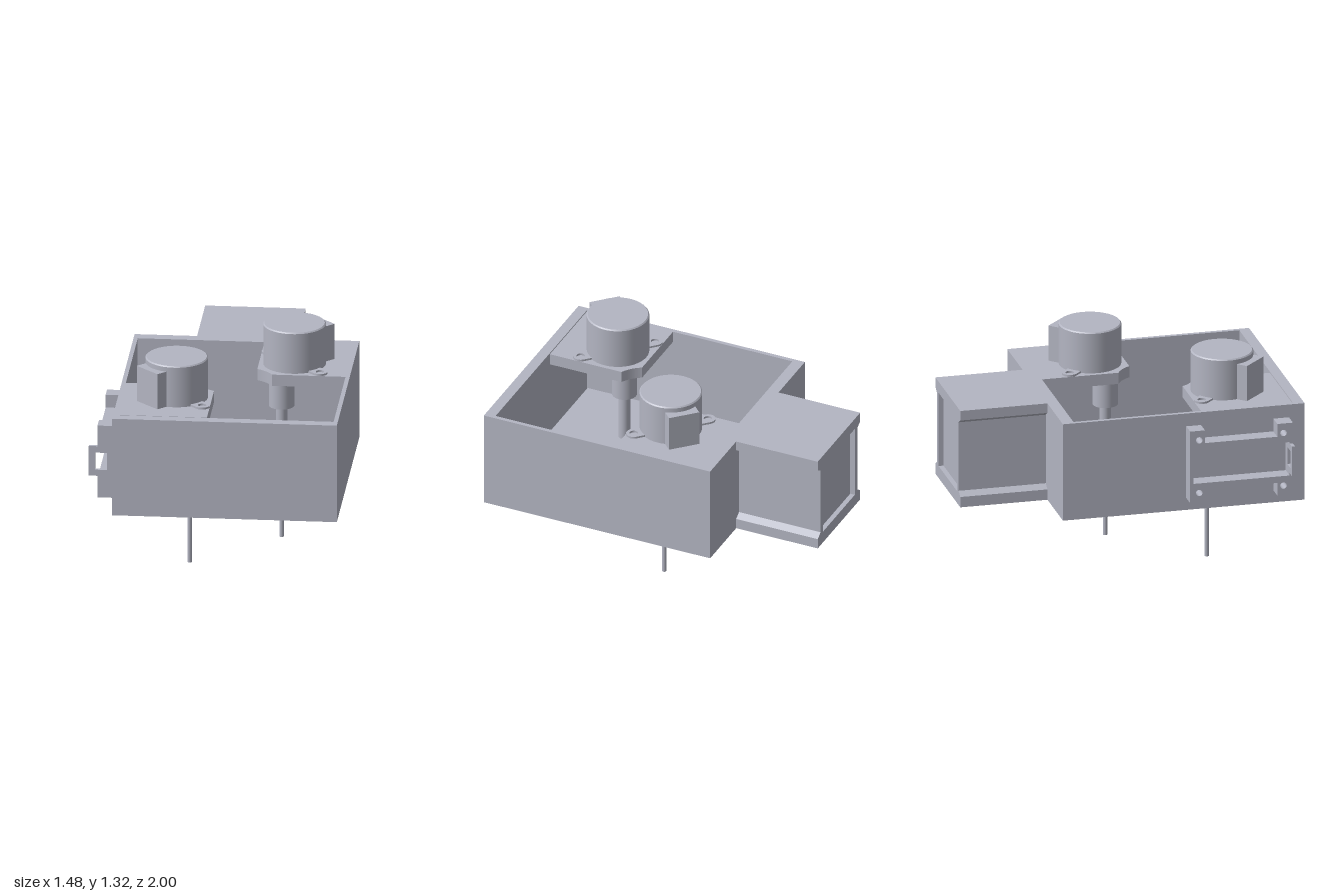
import * as THREE from 'three';

const BOTTOM = 0.455, TOP = 1.06;

export function createModel() {
  const model = new THREE.Group();
  const grey = new THREE.MeshStandardMaterial({ color: 0xb3b5c2 });
  grey.name = 'matte grey';

  const add = (parent, name, geometry) => {
    const mesh = new THREE.Mesh(geometry, grey);
    mesh.name = name;
    parent.add(mesh);
    return mesh;
  };
  const box = (parent, name, x0, x1, y0, y1, z0, z1) => {
    const mesh = add(parent, name, new THREE.BoxGeometry(x1 - x0, y1 - y0, z1 - z0));
    mesh.position.set((x0 + x1) / 2, (y0 + y1) / 2, (z0 + z1) / 2);
    return mesh;
  };
  const tube = (parent, name, rTop, rBottom, y0, y1, x, z, sides = 48) => {
    const mesh = add(parent, name, new THREE.CylinderGeometry(rTop, rBottom, y1 - y0, sides));
    mesh.position.set(x, (y0 + y1) / 2, z);
    return mesh;
  };
  const poly = (pts) => new THREE.Shape(pts.map(([x, y]) => new THREE.Vector2(x, y)));
  const rect = (x0, x1, y0, y1) => poly([[x0, y0], [x1, y0], [x1, y1], [x0, y1]]);
  const circle = (x, y, r) => new THREE.Path().absarc(x, y, r, 0, Math.PI * 2, true);
  const extrude = (shape, depth) =>
    new THREE.ExtrudeGeometry(shape, { depth, bevelEnabled: false, curveSegments: 16 });
  // Plan outlines are drawn with y = -z and raised from y0 to y1
  const raise = (parent, name, shape, y0, y1) => {
    const geometry = extrude(shape, y1 - y0);
    geometry.rotateX(-Math.PI / 2).translate(0, y0, 0);
    return add(parent, name, geometry);
  };

  // Open rectangular housing
  const walls = rect(-0.595, 0.735, -1, 0.47);
  walls.holes.push(rect(-0.57, 0.71, -0.935, 0.4));
  raise(model, 'housingWalls', walls, BOTTOM, TOP);

  // Rear block with flanged sides and a shallow pocket in its end
  const rear = new THREE.Group();
  rear.name = 'rearBlock';
  model.add(rear);
  const rearSection = () => {
    const L = -0.225, R = 0.37, inset = 0.04;
    return poly([
      [L, BOTTOM], [R, BOTTOM], [R, 0.52], [R - inset, 0.545], [R - inset, 0.975], [R, 1.0],
      [R, TOP], [L, TOP], [L, 1.0], [L + inset, 0.975], [L + inset, 0.545], [L, 0.52],
    ]);
  };
  const core = add(rear, 'rearBlockCore', extrude(rearSection(), 0.5));
  core.position.z = -0.97;
  const rim = rearSection();
  rim.holes.push(rect(-0.15, 0.295, 0.53, 0.99));
  const rimMesh = add(rear, 'rearBlockRim', extrude(rim, 0.03));
  rimMesh.position.z = -1;

  // One motor station in its corner; the second is the same turned half round
  const station = () => {
    const g = new THREE.Group();
    const cx = 0.39, cz = -0.055;

    // Upper and lower corner plates
    for (const [name, y0, y1] of [['lowerPlate', BOTTOM, 0.52], ['upperPlate', 0.99, TOP]]) {
      const plate = new THREE.Shape();
      plate.moveTo(0.18, 0.4);
      plate.lineTo(0.18, -0.065);
      plate.quadraticCurveTo(0.243, -0.097, 0.275, -0.155);
      plate.lineTo(0.71, -0.155);
      plate.lineTo(0.71, 0.4);
      raise(g, name, plate, y0, y1);
    }

    // Motor can with a slightly eased top edge
    tube(g, 'motorCan', 0.185, 0.185, TOP, 1.308, cx, cz, 64);
    tube(g, 'motorCanEdge', 0.178, 0.185, 1.308, 1.315, cx, cz, 64);

    // Terminal box on the side of the can
    const terminal = add(g, 'terminalBox', new THREE.BoxGeometry(0.19, 0.22, 0.13));
    terminal.position.set(cx + 0.115, 1.17, cz - 0.115);
    terminal.rotation.y = Math.PI * 0.75;

    // Mounting ears with screw holes
    for (const s of [-1, 1]) {
      const ear = new THREE.Shape();
      ear.moveTo(0.15, -0.045);
      ear.lineTo(0.233, -0.045);
      ear.absarc(0.233, 0, 0.045, -Math.PI / 2, Math.PI / 2, false);
      ear.lineTo(0.15, 0.045);
      ear.holes.push(circle(0.233, 0, 0.025));
      const mesh = raise(g, 'mountingEar', ear, 0, 0.012);
      mesh.position.set(cx, TOP, cz);
      mesh.rotation.y = s > 0 ? -Math.PI / 4 : Math.PI * 0.75;
    }

    // Offset gearbox boss, shaft and output pin
    tube(g, 'shaftBoss', 0.075, 0.075, 0.82, 0.99, 0.32, 0.02);
    tube(g, 'shaft', 0.035, 0.035, 0.52, 0.82, 0.32, 0.02, 32);
    tube(g, 'pinCollar', 0.018, 0.018, 0.39, BOTTOM, 0.32, 0.02, 24);
    tube(g, 'outputPin', 0.014, 0.014, 0, 0.39, 0.32, 0.02, 24);
    return g;
  };
  const backMotor = station();
  backMotor.name = 'backMotorStation';
  const frontMotor = station();
  frontMotor.name = 'frontMotorStation';
  frontMotor.rotation.y = Math.PI;
  frontMotor.position.set(0.14, 0, 0.53);
  model.add(backMotor, frontMotor);

  // Side bracket: end plates, corner blocks and rails
  const bracket = new THREE.Group();
  bracket.name = 'sideBracket';
  model.add(bracket);
  box(bracket, 'bracketBackPlate', -0.69, -0.595, 0.53, 0.98, 0.28, 0.3);

  // Front end plate with a square latch loop
  const latch = poly([
    [-0.595, 0.53], [-0.595, 0.98], [-0.69, 0.98], [-0.69, 0.85],
    [-0.742, 0.85], [-0.742, 0.665], [-0.69, 0.665], [-0.69, 0.53],
  ]);
  latch.holes.push(rect(-0.705, -0.635, 0.703, 0.81));
  add(bracket, 'bracketLatchPlate', extrude(latch, 0.02)).position.z = 0.885;

  for (const [y0, y1, rail0] of [[0.53, 0.65, 0.61], [0.86, 0.98, 0.86]]) {
    for (const [z0, z1] of [[0.3, 0.37], [0.81, 0.885]]) {
      const block = rect(z0, z1, y0, y1);
      block.holes.push(circle((z0 + z1) / 2, (y0 + y1) / 2, 0.02));
      const geometry = extrude(block, 0.095);
      geometry.rotateY(-Math.PI / 2).translate(-0.595, 0, 0);
      add(bracket, 'bracketCornerBlock', geometry);
    }
    box(bracket, 'bracketRail', -0.69, -0.595, rail0, rail0 + 0.04, 0.37, 0.81);
  }

  return model;
}
